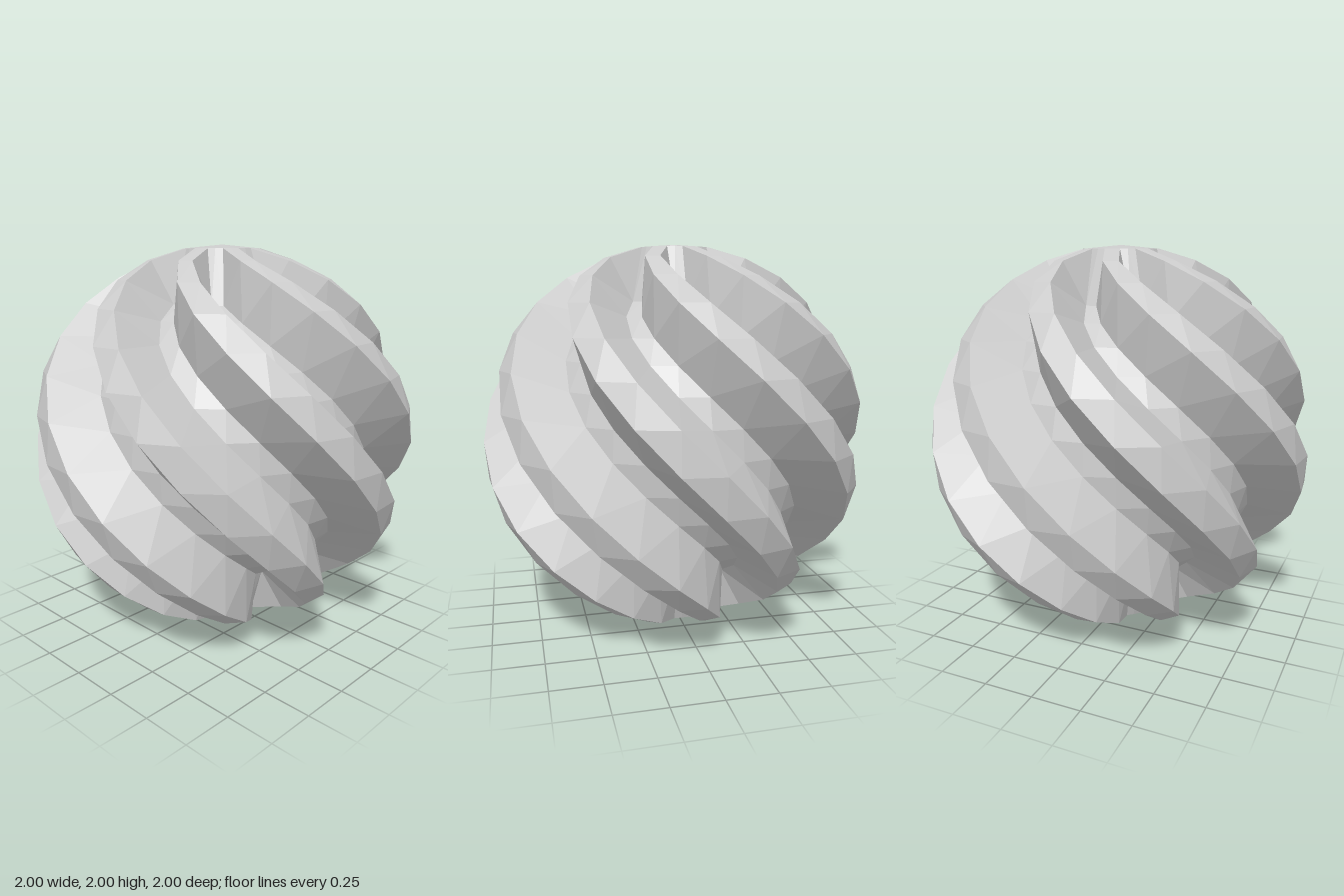
import * as THREE from 'three';

const COLUMNS = 32, RINGS = 16, PERIOD = 4; // eight ribs around
const GROOVE = 0.77; // groove floor radius

export function createModel() {
  const group = new THREE.Group();
  group.name = 'spiralRibbedBall';

  // Faceted ball; ribs and grooves follow the diagonals of its grid
  const geometry = new THREE.SphereGeometry(1, COLUMNS, RINGS);
  const position = geometry.attributes.position;
  const v = new THREE.Vector3();
  // The ring next to each pole stays full, as a small cap joining the ribs
  for (let ring = 2; ring < RINGS - 1; ring++) {
    for (let column = 0; column <= COLUMNS; column++) {
      const phase = (column - ring + COLUMNS) % PERIOD;
      if (phase !== 1 && phase !== 2) continue; // rib crest keeps its radius
      const i = ring * (COLUMNS + 1) + column;
      v.fromBufferAttribute(position, i).multiplyScalar(GROOVE);
      position.setXYZ(i, v.x, v.y, v.z);
    }
  }
  geometry.translate(0, 1, 0);
  geometry.computeVertexNormals();

  const ball = new THREE.Mesh(
    geometry,
    new THREE.MeshStandardMaterial({ color: 0xcccccc, flatShading: true })
  );
  ball.name = 'spiralRibs';
  group.add(ball);
  return group;
}
